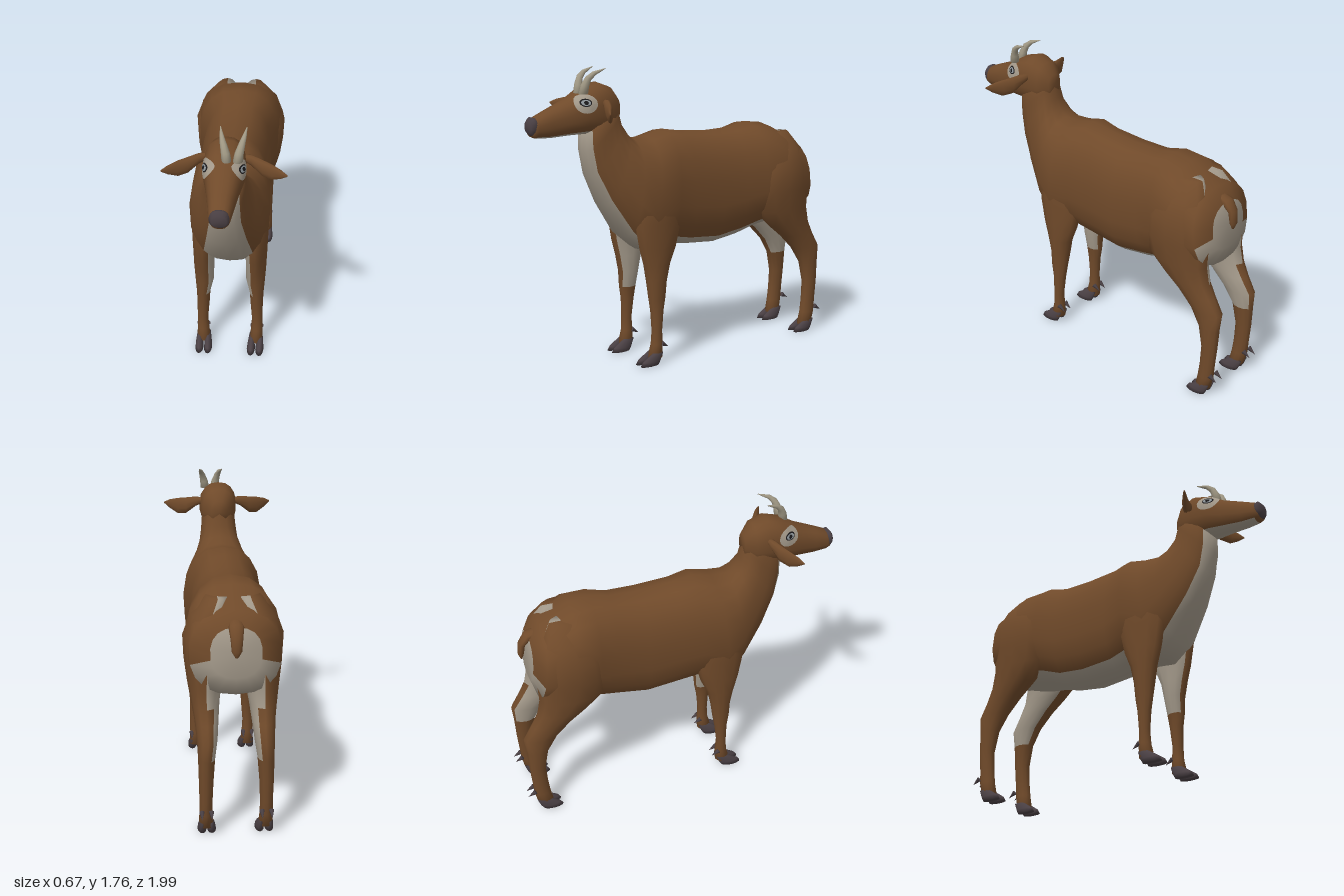
import * as THREE from 'three';

const mat = (name, color) => Object.assign(new THREE.MeshStandardMaterial({ color }), { name });

export function createModel() {
  const model = new THREE.Group();
  model.name = 'hornedAnimal';
  const brown = mat('brownCoat', 0x704a2a);
  const cream = mat('paleCoat', 0xa3998a);
  const horn = mat('horn', 0xa09884);
  const dark = mat('hoofAndNose', 0x4a4044);
  const black = mat('pupil', 0x1b1a1c);
  const grey = mat('eyeRim', 0x8f979c);

  // Skin closed rings of points; pick(i, j) chooses a material index for each face.
  function loft(name, rings, mats, pick = () => 0, side = 1) {
    const n = rings[0].length, pos = [], lists = mats.map(() => []);
    const tri = (m, a, b, c) => lists[m].push(...(side > 0 ? [a, b, c] : [a, c, b]));
    rings.forEach(r => r.forEach(p => pos.push(p[0] * side, p[1], p[2])));
    for (let i = 0; i < rings.length - 1; i++) {
      for (let j = 0; j < n; j++) {
        const k = (j + 1) % n, a = i * n, b = a + n, m = pick(i, j);
        tri(m, a + j, a + k, b + k);
        tri(m, a + j, b + k, b + j);
      }
    }
    [0, rings.length - 1].forEach(i => {
      const c = pos.length / 3;
      for (let q = 0; q < 3; q++) {
        const v = rings[i].reduce((s, p) => s + p[q], 0) / n;
        pos.push(q === 0 ? v * side : v);
      }
      for (let j = 0; j < n; j++) {
        const a = i * n + j, b = i * n + (j + 1) % n;
        if (i) tri(pick(i, j), c, a, b);
        else tri(pick(-1, j), c, b, a);
      }
    });
    const g = new THREE.BufferGeometry();
    g.setAttribute('position', new THREE.Float32BufferAttribute(pos, 3));
    g.setIndex(lists.flat());
    let start = 0;
    lists.forEach((l, m) => { g.addGroup(start, l.length, m); start += l.length; });
    g.computeVertexNormals();
    const mesh = new THREE.Mesh(g, mats.length > 1 ? mats : mats[0]);
    mesh.name = name;
    model.add(mesh);
  }

  // Torso and head ring: [topZ, topY, bottomZ, bottomY, halfWidth, paleAngle].
  const E = 0.85, spow = v => Math.sign(v) * Math.abs(v) ** E;
  function section([tz, ty, bz, by, w, b = 0.65]) {
    const half = [0, b / 2, b];
    for (let k = 1; k <= 7; k++) half.push(b + (Math.PI - b) * k / 7);
    const angles = [...half, ...half.slice(1, -1).reverse().map(a => 2 * Math.PI - a)];
    return angles.map(a => {
      const c = -spow(Math.cos(a));
      return [w * spow(Math.sin(a)), (ty + by) / 2 + c * (ty - by) / 2, (tz + bz) / 2 + c * (tz - bz) / 2];
    });
  }
  const under = j => j < 2 || j > 15;

  // Torso and neck, rump to throat
  const torso = [
    [-0.87, 1.18, -0.89, 0.90, 0.14], [-0.80, 1.25, -0.86, 0.80, 0.25], [-0.62, 1.35, -0.68, 0.74, 0.265],
    [-0.50, 1.365, -0.50, 0.71, 0.245], [-0.38, 1.34, -0.38, 0.67, 0.205], [-0.20, 1.335, -0.20, 0.645, 0.215],
    [0.0, 1.35, 0.0, 0.66, 0.205], [0.12, 1.37, 0.14, 0.69, 0.23], [0.24, 1.34, 0.31, 0.67, 0.235, 0.52],
    [0.34, 1.335, 0.42, 0.76, 0.21, 0.68], [0.385, 1.37, 0.55, 0.96, 0.16, 0.72],
    [0.42, 1.43, 0.635, 1.14, 0.122, 0.74], [0.435, 1.50, 0.665, 1.28, 0.108, 0.8], [0.47, 1.58, 0.665, 1.40, 0.1, 0.85],
  ];
  loft('torsoAndNeck', torso.map(section), [brown, cream],
    (i, j) => (i < 0 || under(j) || (i === 0 && (j < 4 || j > 13)) ? 1 : 0));

  // Head with pale jaw
  const head = [
    [0.435, 1.58, 0.05, 1.45], [0.49, 1.645, 0.1, 1.40], [0.57, 1.675, 0.114, 1.385], [0.67, 1.645, 0.112, 1.385],
    [0.76, 1.59, 0.09, 1.385], [0.88, 1.54, 0.07, 1.38], [0.96, 1.505, 0.058, 1.385], [0.985, 1.47, 0.045, 1.395],
  ];
  const upright = ([z, top, w, bottom]) => section([z, top, z, bottom, w]);
  loft('head', head.map(upright), [brown, cream], (i, j) => (under(j) && i > 1 && i < 6 ? 1 : 0));
  loft('nose', [[0.945, 1.495, 0.045, 1.42], [0.983, 1.505, 0.054, 1.40], [1.0, 1.485, 0.04, 1.415]].map(upright), [dark]);

  // Half-width of the head at a given height and depth
  function headX(y, z) {
    const i = head.findIndex(s => s[0] >= z), a = head[i - 1], b = head[i], t = (z - a[0]) / (b[0] - a[0]);
    const [, top, w, bottom] = a.map((v, q) => v + (b[q] - v) * t);
    const d = Math.abs(2 * y - top - bottom) / (top - bottom);
    return w * Math.max(0, 1 - d ** (2 / E)) ** (E / 2);
  }
  // Thin oval laid over the side of the head
  function eyeDisc(name, m, s, z, y, rz, ry, lift) {
    const g = new THREE.RingGeometry(0.001, 1, 20, 4), p = g.attributes.position;
    for (let i = 0; i < p.count; i++) {
      const pz = z - s * p.getX(i) * rz, py = y + p.getY(i) * ry;
      p.setXYZ(i, s * (headX(py, pz) + lift), py, pz);
    }
    g.computeVertexNormals();
    const mesh = new THREE.Mesh(g, m);
    mesh.name = name;
    model.add(mesh);
  }

  // Upright ring for legs: [y, frontZ, backZ, innerX, outerX]
  const legRing = ([y, f, b, xi, xo]) => Array.from({ length: 12 }, (_, k) => {
    const t = k * Math.PI / 6;
    return [(xi + xo) / 2 + Math.cos(t) * (xo - xi) / 2, y, (f + b) / 2 - Math.sin(t) * (f - b) / 2];
  });
  const frontLeg = [
    [0.04, 0.325, 0.235, 0.122, 0.205], [0.12, 0.305, 0.233, 0.13, 0.2], [0.2, 0.30, 0.238, 0.135, 0.2],
    [0.32, 0.305, 0.225, 0.125, 0.2], [0.4, 0.318, 0.21, 0.12, 0.203], [0.5, 0.325, 0.198, 0.097, 0.21],
    [0.6, 0.345, 0.175, 0.095, 0.216], [0.7, 0.375, 0.13, 0.09, 0.22], [0.85, 0.405, 0.09, 0.08, 0.225],
    [1.05, 0.40, 0.09, 0.06, 0.228], [1.2, 0.34, 0.14, 0.05, 0.17],
  ];
  const hindLeg = [
    [0.04, -0.83, -0.925, 0.122, 0.205], [0.12, -0.845, -0.945, 0.13, 0.203], [0.2, -0.855, -0.95, 0.13, 0.202],
    [0.32, -0.862, -0.96, 0.125, 0.205], [0.45, -0.835, -0.967, 0.115, 0.208], [0.55, -0.77, -0.978, 0.1, 0.212],
    [0.64, -0.68, -0.925, 0.09, 0.222], [0.72, -0.58, -0.885, 0.08, 0.237], [0.82, -0.47, -0.865, 0.06, 0.255],
    [0.95, -0.43, -0.87, 0.04, 0.272], [1.08, -0.45, -0.86, 0.03, 0.278], [1.2, -0.5, -0.82, 0.03, 0.235],
    [1.3, -0.55, -0.76, 0.03, 0.15],
  ];
  const inner = j => j > 3 && j < 8;

  // Ring on a path bending in the side plane: [x, y, z, radius, tilt]
  const bendRing = flat => ([x, y, z, r, tilt]) => Array.from({ length: 10 }, (_, k) => {
    const t = k * Math.PI / 5, d = -Math.sin(t) * r * flat;
    return [x + Math.cos(t) * r, y + d * Math.sin(tilt), z + d * Math.cos(tilt)];
  });

  for (const s of [1, -1]) {
    const label = s > 0 ? 'left' : 'right';
    loft(label + 'FrontLeg', frontLeg.map(legRing), [brown, cream], (i, j) => (i > 3 && i < 8 && inner(j) ? 1 : 0), s);
    loft(label + 'HindLeg', hindLeg.map(legRing), [brown, cream],
      (i, j) => ((i > 3 && inner(j)) || (i > 6 && j === 3) ? 1 : 0), s);

    // Cloven hooves and dewclaws
    for (const [part, z] of [['Front', 0], ['Hind', -1.17]]) {
      for (const x of [0.108, 0.161]) {
        const claw = [[0, 0.395, 0.27, x, x + 0.05], [0.025, 0.38, 0.255, x + 0.003, x + 0.049],
          [0.07, 0.31, 0.238, x + 0.012, x + 0.042]];
        loft(label + part + 'Hoof', claw.map(([y, f, b, xi, xo]) => legRing([y, f + z, b + z, xi, xo])), [dark], undefined, s);
        const dew = new THREE.Mesh(new THREE.ConeGeometry(0.016, 0.055, 6), dark);
        dew.name = label + part + 'Dewclaw';
        dew.position.set(s * (x + 0.03), z ? 0.135 : 0.11, z ? -0.965 : 0.225);
        dew.rotation.x = -2.1;
        model.add(dew);
      }
    }

    // Ear: a flattened leaf pointing outward and forward
    const ear = [
      [0.085, 1.565, 0.56, 0.015, 0.015], [0.14, 1.555, 0.575, 0.03, 0.025], [0.2, 1.525, 0.6, 0.05, 0.025],
      [0.25, 1.518, 0.625, 0.049, 0.02], [0.3, 1.525, 0.655, 0.028, 0.012], [0.335, 1.53, 0.675, 0.004, 0.004],
    ];
    loft(label + 'Ear', ear.map(([x, y, z, h, d]) => Array.from({ length: 10 }, (_, k) => {
      const t = k * Math.PI / 5;
      return [x, y + Math.cos(t) * h, z + Math.sin(t) * d];
    })), [brown], undefined, s);

    eyeDisc(label + 'EyePatch', cream, s, 0.685, 1.565, 0.065, 0.052, 0.004);
    eyeDisc(label + 'EyeOutline', black, s, 0.69, 1.573, 0.033, 0.022, 0.007);
    eyeDisc(label + 'EyeRim', grey, s, 0.69, 1.573, 0.026, 0.016, 0.009);
    eyeDisc(label + 'Pupil', black, s, 0.69, 1.573, 0.012, 0.011, 0.011);

    // Backward-curving horn; the pair sits slightly to one side
    const hx = d => 0.045 + s * d;
    loft(label + 'Horn', [
      [hx(0.03), 1.62, 0.69, 0.027, 0], [hx(0.036), 1.665, 0.683, 0.024, 0.2], [hx(0.047), 1.705, 0.667, 0.019, 0.6],
      [hx(0.058), 1.733, 0.635, 0.013, 0.95], [hx(0.07), 1.757, 0.57, 0.002, 1.2],
    ].map(bendRing(1)), [horn]);
  }

  // Short hanging tail, tip to root
  loft('tail', [
    [0, 1.025, -0.915, 0.008, 0], [0, 1.06, -0.917, 0.028, 0], [0, 1.13, -0.908, 0.034, -0.2],
    [0, 1.18, -0.87, 0.042, -0.8], [0, 1.2, -0.81, 0.035, -1],
  ].map(bendRing(0.6)), [brown]);

  return model;
}
